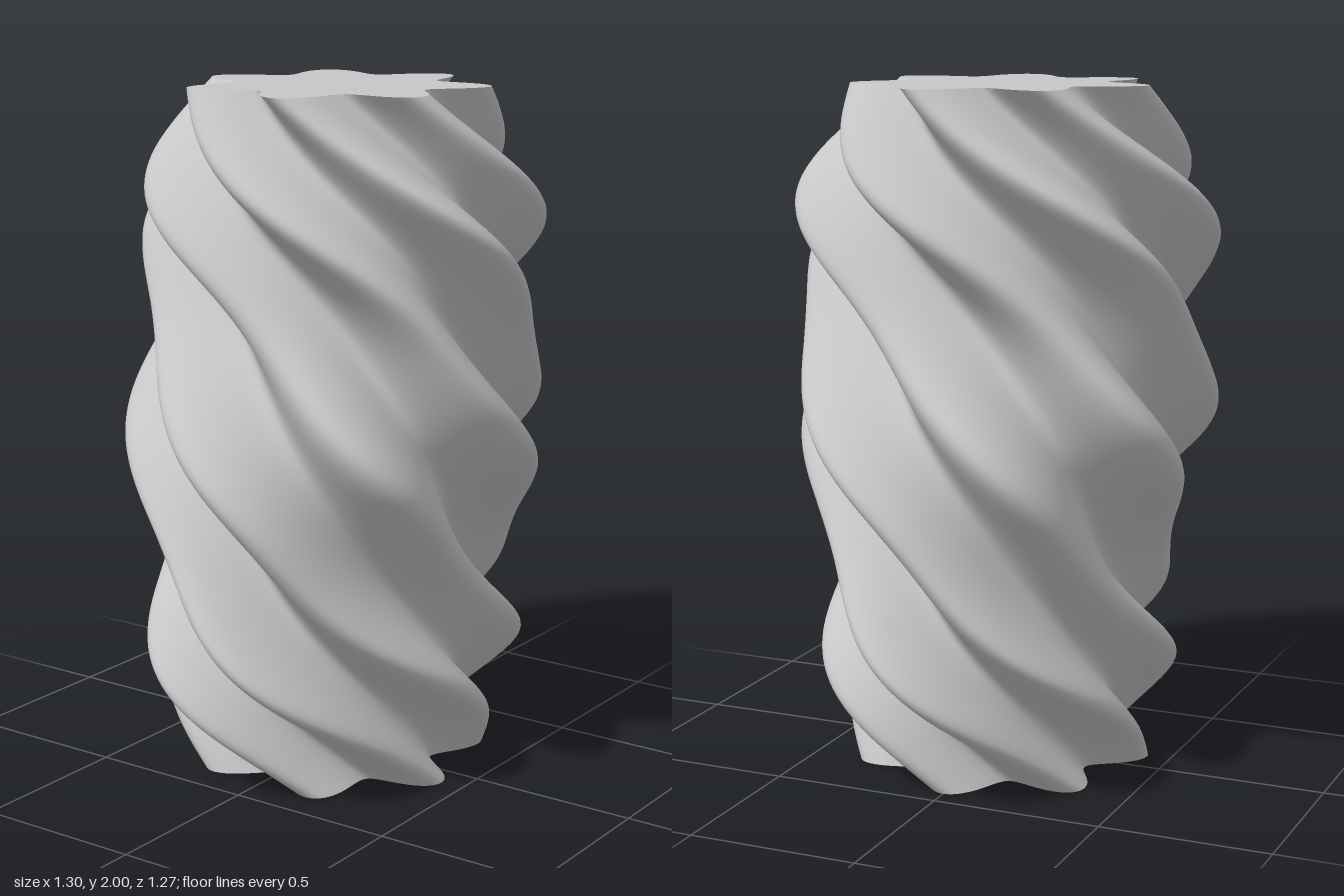
import * as THREE from 'three';

const HEIGHT = 2;
const LOBES = 7;
const SIDES = 196;
const ROWS = 160;
const TIP = 0.44;
const TWIST = Math.PI * 1.5;

// Reach of the lobe tips at height y; swell sets how far the low half widens
function reach(y, swell) {
  return 0.475 + 0.12 * Math.sin(Math.PI * y / 2)
    + 0.035 * Math.cos(3 * Math.PI * (y - 1))
    + swell * Math.sin(Math.PI * y);
}

// Turn of the section at height y, slower at mid height than at the ends
function turnAt(y) {
  return TWIST * (1 - (y + 0.06 * Math.sin(Math.PI * y)) / HEIGHT);
}

// One ring of the seven-lobed section, turned and stretched for its height
function ring(y) {
  const sx = reach(y, 0.09) / TIP;
  const sz = reach(y, -0.07) / TIP;
  const turn = turnAt(y);
  const points = [];
  for (let j = 0; j < SIDES; j++) {
    const phi = j / SIDES * Math.PI * 2;
    const r = 0.37 + 0.07 * Math.cos(LOBES * phi);
    const a = phi + turn;
    points.push(-Math.sin(a) * r * sx, y, -Math.cos(a) * r * sz);
  }
  return points;
}

function buildGeometry(positions, index) {
  const g = new THREE.BufferGeometry();
  g.setAttribute('position', new THREE.Float32BufferAttribute(positions, 3));
  g.setIndex(index);
  g.computeVertexNormals();
  return g;
}

// Twisted wall lofted through the rings
function wallGeometry() {
  const positions = [];
  const index = [];
  for (let i = 0; i <= ROWS; i++) positions.push(...ring(i / ROWS * HEIGHT));
  for (let i = 0; i < ROWS; i++) {
    for (let j = 0; j < SIDES; j++) {
      const k = (j + 1) % SIDES;
      const a = i * SIDES + j, b = i * SIDES + k;
      index.push(a, b, b + SIDES, a, b + SIDES, a + SIDES);
    }
  }
  return buildGeometry(positions, index);
}

// Flat end closing the section
function capGeometry(y, facesUp) {
  const positions = [...ring(y), 0, y, 0];
  const index = [];
  for (let j = 0; j < SIDES; j++) {
    const k = (j + 1) % SIDES;
    index.push(SIDES, facesUp ? j : k, facesUp ? k : j);
  }
  return buildGeometry(positions, index);
}

export function createModel() {
  const grey = new THREE.MeshStandardMaterial({ color: 0xc6c6c6 });
  grey.name = 'grey';
  const model = new THREE.Group();
  model.name = 'twistedColumn';
  const add = (name, geometry) => {
    const mesh = new THREE.Mesh(geometry, grey);
    mesh.name = name;
    model.add(mesh);
  };
  add('flutedWall', wallGeometry());
  add('topFace', capGeometry(HEIGHT, true));
  add('bottomFace', capGeometry(0, false));
  return model;
}
